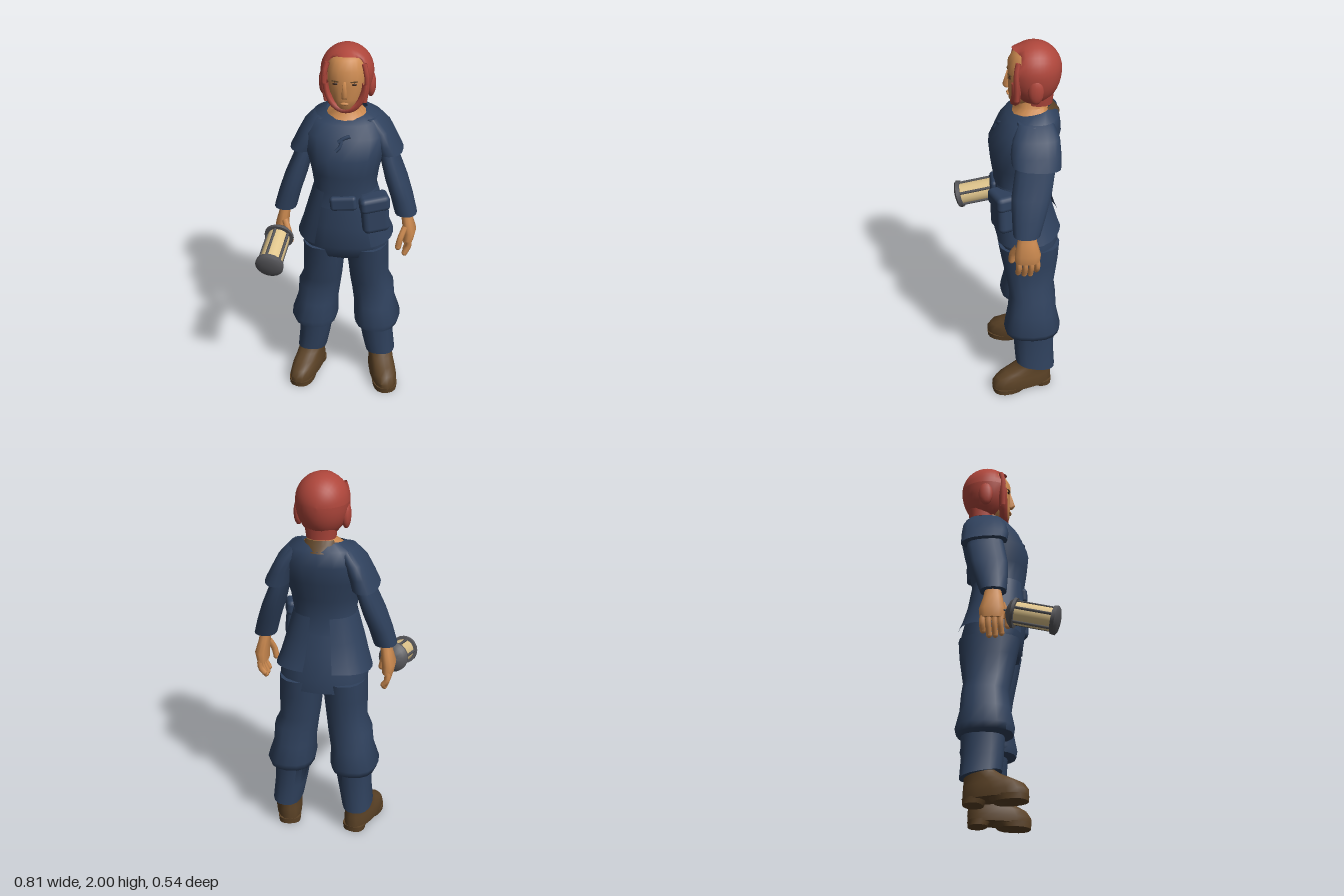
import * as THREE from 'three';
import { toCreasedNormals } from 'three/addons/utils/BufferGeometryUtils.js';
import { RoundedBoxGeometry } from 'three/addons/geometries/RoundedBoxGeometry.js';

const CX = 0.026; // the body's own middle line

const mat = (name, color, side = THREE.FrontSide) => {
  const m = new THREE.MeshStandardMaterial({ color, side });
  m.name = name;
  return m;
};

// Skin over horizontal rings [y, xMin, xMax, zBack, zFront, frontLift]
function loft(rings, { n = 16, p = 0.85, a0 = 0, a1 = Math.PI * 2, crease = 0.9, caps = true } = {}) {
  rings = [...rings].sort((a, b) => a[0] - b[0]);
  const pos = [], idx = [], w = n + 1;
  const pw = v => Math.sign(v) * Math.abs(v) ** p;
  for (const [y, x0, x1, z0, z1, lift = 0] of rings)
    for (let j = 0; j <= n; j++) {
      const a = a0 + (a1 - a0) * j / n;
      pos.push((x0 + x1) / 2 + (x1 - x0) / 2 * pw(Math.cos(a)), y + lift * Math.sin(a),
        (z0 + z1) / 2 + (z1 - z0) / 2 * pw(Math.sin(a)));
    }
  for (let i = 0; i < rings.length - 1; i++)
    for (let j = 0; j < n; j++) {
      const a = i * w + j, b = a + w;
      idx.push(a, b, a + 1, b, b + 1, a + 1);
    }
  if (caps) [0, rings.length - 1].forEach((i, top) => {
    const [y, x0, x1, z0, z1] = rings[i], c = pos.length / 3;
    pos.push((x0 + x1) / 2, y, (z0 + z1) / 2);
    for (let j = 0; j < n; j++) {
      const a = i * w + j;
      top ? idx.push(c, a + 1, a) : idx.push(c, a, a + 1);
    }
  });
  const g = new THREE.BufferGeometry();
  g.setAttribute('position', new THREE.Float32BufferAttribute(pos, 3));
  g.setIndex(idx);
  return toCreasedNormals(g, crease);
}

export function createModel() {
  const cloth = mat('navy cloth', 0x2f415d, THREE.DoubleSide);
  const skin = mat('skin', 0xcc8a50);
  const hairMat = mat('red hair', 0xae463b, THREE.DoubleSide);
  const leather = mat('brown leather', 0x5b4226, THREE.DoubleSide);
  const metal = mat('grey metal', 0x56565a);
  const glass = mat('lantern glass', 0xe0c58c);
  const dark = mat('dark eye', 0x3a2418);

  const model = new THREE.Group();
  const add = (name, geo, m, x = 0, y = 0, z = 0, parent = model) => {
    const mesh = new THREE.Mesh(geo, m);
    mesh.name = name;
    mesh.position.set(x, y, z);
    parent.add(mesh);
    return mesh;
  };
  const tube = (pts, r, seg = 6) =>
    new THREE.TubeGeometry(new THREE.CatmullRomCurve3(pts.map(q => new THREE.Vector3(...q))), seg, r, 7);

  // Head and neck
  add('head', loft([
    [1.682, -0.01, 0.065, -0.12, -0.02], [1.7, -0.03, 0.085, -0.15, -0.004], [1.745, -0.055, 0.11, -0.18, 0],
    [1.82, -0.072, 0.127, -0.2, 0.003], [1.9, -0.072, 0.127, -0.2, 0.002],
    [1.95, -0.05, 0.105, -0.18, -0.025], [1.972, -0.01, 0.065, -0.15, -0.06]], { n: 20, p: 0.92, crease: 1.3 }), skin);
  add('neck', loft([[1.74, -0.03, 0.085, -0.18, -0.06], [1.66, -0.035, 0.09, -0.19, -0.05],
    [1.635, -0.075, 0.125, -0.2, -0.02, -0.01], [1.6, -0.08, 0.13, -0.2, 0]]), skin);
  add('nose', loft([[1.76, CX - 0.015, CX + 0.015, -0.02, 0.016], [1.775, CX - 0.015, CX + 0.015, -0.02, 0.028],
    [1.85, CX - 0.008, CX + 0.008, -0.02, 0.005]], { n: 10, crease: 1.4 }), skin);
  add('lips', new THREE.SphereGeometry(1, 10, 6), skin, CX, 1.728, 0).scale.set(0.022, 0.008, 0.008);
  for (const s of [-1, 1]) {
    add('eye', new THREE.SphereGeometry(1, 10, 6), dark, CX + s * 0.047, 1.833, -0.006).scale.set(0.014, 0.006, 0.006);
    const brow = add('eyebrow', new THREE.BoxGeometry(0.036, 0.004, 0.006), leather, CX + s * 0.048, 1.848, -0.004);
    brow.rotation.y = s * 0.35;
  }

  // Hair: a shell open toward the face, longer below, with locks along the forehead edge
  const shell = new THREE.SphereGeometry(1, 32, 14, 0, Math.PI * 2, 0.93, Math.PI - 0.93).rotateX(Math.PI / 2);
  const sp = shell.attributes.position;
  for (let i = 0; i < sp.count; i++) {
    const x = sp.getX(i), y = sp.getY(i);
    const lock = i < 33 && y > 0 ? 0.025 * Math.cos(4 * Math.atan2(y, x)) : 0;
    sp.setXYZ(i, x * 0.135, y * (y > 0 ? 0.14 : 0.19), sp.getZ(i) * 0.14 + lock);
  }
  shell.computeVertexNormals();
  add('hairCap', shell, hairMat, CX, 1.86, -0.125);
  add('hairNape', loft([[1.78, -0.06, 0.112, -0.235, -0.08], [1.73, -0.055, 0.107, -0.228, -0.08],
    [1.68, -0.05, 0.1, -0.222, -0.085]]), hairMat);
  const jaw = add('hairUnderJaw', new THREE.TorusGeometry(0.1, 0.016, 6, 20, Math.PI), hairMat, CX, 1.83, -0.034);
  jaw.rotation.z = Math.PI;
  jaw.scale.set(1, 1.46, 1.6);
  for (const s of [-1, 1]) {
    const bun = add('hairSideBun', new THREE.SphereGeometry(1, 12, 8), hairMat, CX + s * 0.12, 1.79, -0.128);
    bun.scale.set(0.025, 0.07, 0.04);
    add('templeLock', tube([[CX + s * 0.092, 1.93, -0.045], [CX + s * 0.105, 1.88, -0.035],
      [CX + s * 0.108, 1.82, -0.035], [CX + s * 0.095, 1.73, -0.035]], 0.014), hairMat);
  }

  // Tunic body
  add('tunic', loft([
    [1.65, -0.08, 0.13, -0.215, -0.03, -0.02], [1.62, -0.15, 0.2, -0.252, 0.01, -0.01], [1.55, -0.19, 0.24, -0.265, 0.055],
    [1.45, -0.175, 0.225, -0.245, 0.1], [1.35, -0.15, 0.2, -0.22, 0.09],
    [1.25, -0.135, 0.185, -0.2, 0.075], [1.16, -0.16, 0.21, -0.215, 0.08]], { n: 20, caps: false }), cloth);
  add('backCollar', loft([[1.676, -0.06, 0.112, -0.217, -0.06], [1.655, -0.07, 0.122, -0.232, -0.06],
    [1.622, -0.05, 0.102, -0.258, -0.06]], { a0: Math.PI * 1.2, a1: Math.PI * 1.8, caps: false }), leather);
  add('chestTie', tube([[0, 1.54, 0.056], [0.03, 1.56, 0.047], [0.06, 1.57, 0.04]], 0.01), cloth);
  add('chestTieEnd', tube([[0.02, 1.56, 0.047], [0.01, 1.52, 0.067], [-0.01, 1.5, 0.076]], 0.009), cloth);

  // Skirt flaps, split at the front and notched at the back
  for (const s of [-1, 1]) {
    const range = s > 0 ? [-1.32, 1.0] : [Math.PI - 1.0, Math.PI + 1.32];
    add('skirtFlap', loft([[1.25, -0.138, 0.19, -0.203, 0.08], [1.12, -0.175, 0.225, -0.225, 0.088],
      [1.02, -0.203, 0.253, -0.255, 0.09], [0.95, -0.226, 0.277, -0.274, 0.086, -0.02]],
      { n: 12, a0: range[0], a1: range[1], caps: false }), cloth);
  }
  add('trouserSeat', loft([[1.25, -0.13, 0.18, -0.19, 0.07], [1.05, -0.175, 0.225, -0.235, 0.088],
    [0.92, -0.205, 0.257, -0.264, 0.07], [0.85, -0.2, 0.252, -0.262, 0.05], [0.825, -0.1, 0.15, -0.2, 0]]), cloth);

  // Belt pouches
  const pouch = new THREE.Group();
  pouch.name = 'sidePouch';
  pouch.position.set(0.188, 1.13, 0.036);
  pouch.rotation.set(0, 0.35, 0.08);
  model.add(pouch);
  add('pouchBody', new RoundedBoxGeometry(0.145, 0.2, 0.095, 2, 0.03), cloth, 0, 0, 0, pouch);
  add('pouchFlap', new RoundedBoxGeometry(0.158, 0.085, 0.105, 2, 0.025), cloth, 0, 0.07, 0.002, pouch);
  add('beltKnot', new RoundedBoxGeometry(0.14, 0.08, 0.04, 2, 0.019), cloth, 0.03, 1.2, 0.073).rotation.z = 0.1;

  // Limbs, given for the left side and mirrored for the right
  for (const s of [1, -1]) {
    const side = s > 0 ? 'left' : 'right';
    const X = x => s > 0 ? x : 2 * CX - x;
    const limb = (name, rings, m, opts) => add(side + name, loft(rings.map(([y, x0, x1, ...r]) =>
      [y, Math.min(X(x0), X(x1)), Math.max(X(x0), X(x1)), ...r]), opts), m);
    const finger = (name, pts, r) => {
      const q = pts.map(([x, y, z]) => [X(x), y, z]);
      add(side + name, tube(q, r), skin);
      add(side + name + 'Tip', new THREE.SphereGeometry(r, 7, 5), skin, ...q[q.length - 1]);
    };

    limb('ShoulderSleeve', [[1.625, 0.1, 0.195, -0.215, -0.04], [1.56, 0.14, 0.252, -0.245, -0.01],
      [1.49, 0.165, 0.288, -0.25, 0.0], [1.43, 0.18, 0.318, -0.25, -0.005, 0.01]], cloth);
    limb('Sleeve', [[1.5, 0.17, 0.27, -0.21, -0.04], [1.4, 0.2, 0.295, -0.22, -0.02],
      [1.28, 0.23, 0.345, -0.2, 0.0], [1.18, 0.262, 0.378, -0.17, 0.0], [1.09, 0.285, 0.402, -0.142, -0.005]], cloth);

    limb('Palm', [[1.11, 0.31, 0.37, -0.115, -0.035], [1.05, 0.322, 0.38, -0.125, -0.025],
      [0.98, 0.33, 0.4, -0.145, -0.012], [0.93, 0.332, 0.39, -0.14, -0.015]], skin, { n: 12 });
    for (let i = 0; i < 4; i++) {
      const z = -0.124 + i * 0.031, end = 0.855 - (i === 1 || i === 2 ? 0.01 : 0) + (i === 0 ? 0.015 : 0);
      finger('Finger', [[0.366, 0.95, z], [0.365, 0.9, z - 0.004], [0.345, end, z]], 0.0155);
    }
    finger('Thumb', [[0.345, 1.02, -0.03], [0.322, 0.96, -0.004], [0.312, 0.91, 0]], 0.017);

    limb('TrouserLeg', [[0.9, 0.026, 0.254, -0.262, 0.058], [0.8, 0.034, 0.256, -0.255, 0.04],
      [0.66, 0.048, 0.257, -0.235, 0.012], [0.6, 0.056, 0.286, -0.242, 0.002], [0.5, 0.07, 0.293, -0.248, 0.012],
      [0.4, 0.07, 0.325, -0.27, 0.032], [0.365, 0.078, 0.312, -0.262, 0.026], [0.352, 0.1, 0.286, -0.24, -0.018],
      [0.25, 0.118, 0.288, -0.235, -0.024], [0.15, 0.138, 0.298, -0.242, -0.03, 0.02]], cloth);

    // Boot, turned outward
    const boot = new THREE.Group();
    boot.name = side + 'Boot';
    boot.position.set(X(0.218), 0, -0.13);
    boot.rotation.y = s * 0.27;
    model.add(boot);
    add('bootUpper', loft([[0.022, -0.069, 0.069, -0.096, 0.239], [0.055, -0.073, 0.073, -0.098, 0.24],
      [0.09, -0.069, 0.069, -0.095, 0.215], [0.115, -0.065, 0.065, -0.092, 0.165], [0.14, -0.065, 0.065, -0.09, 0.11],
      [0.165, -0.067, 0.067, -0.088, 0.075], [0.2, -0.07, 0.07, -0.09, 0.068]]), leather, 0, 0, 0, boot);
    add('bootSole', loft([[0, -0.065, 0.065, 0.06, 0.235], [0.03, -0.069, 0.069, 0.03, 0.239]]), leather, 0, 0, 0, boot);
    add('bootHeel', loft([[0, -0.058, 0.058, -0.094, 0.005], [0.03, -0.062, 0.062, -0.096, 0.02]]), leather, 0, 0, 0, boot);
  }

  // Lantern held forward in the right hand, built upright and then tipped
  const lantern = new THREE.Group();
  lantern.name = 'lantern';
  lantern.position.set(-0.337, 0.895, 0.26);
  lantern.quaternion.setFromUnitVectors(new THREE.Vector3(0, 1, 0), new THREE.Vector3(0.026, 0.07, -0.265).normalize());
  model.add(lantern);
  const lathe = (name, pts) => add(name, toCreasedNormals(
    new THREE.LatheGeometry(pts.map(q => new THREE.Vector2(...q)), 20), 0.7), metal, 0, 0, 0, lantern);
  lathe('lanternBase', [[0, -0.004], [0.04, -0.001], [0.066, 0.006], [0.075, 0.014], [0.073, 0.034], [0, 0.034]]);
  add('lanternGlass', new THREE.CylinderGeometry(0.059, 0.059, 0.21, 20), glass, 0, 0.13, 0, lantern);
  for (let i = 0; i < 5; i++) {
    const a = i * Math.PI * 0.4 + 0.65;
    add('lanternPost', new THREE.CylinderGeometry(0.008, 0.008, 0.21, 6), metal,
      Math.cos(a) * 0.061, 0.13, Math.sin(a) * 0.061, lantern);
  }
  lathe('lanternCap', [[0, 0.225], [0.078, 0.225], [0.078, 0.24], [0.06, 0.258], [0.03, 0.272], [0, 0.276]]);
  add('lanternRing', new THREE.TorusGeometry(0.014, 0.005, 6, 14), metal, 0, 0.284, 0, lantern);

  return model;
}
